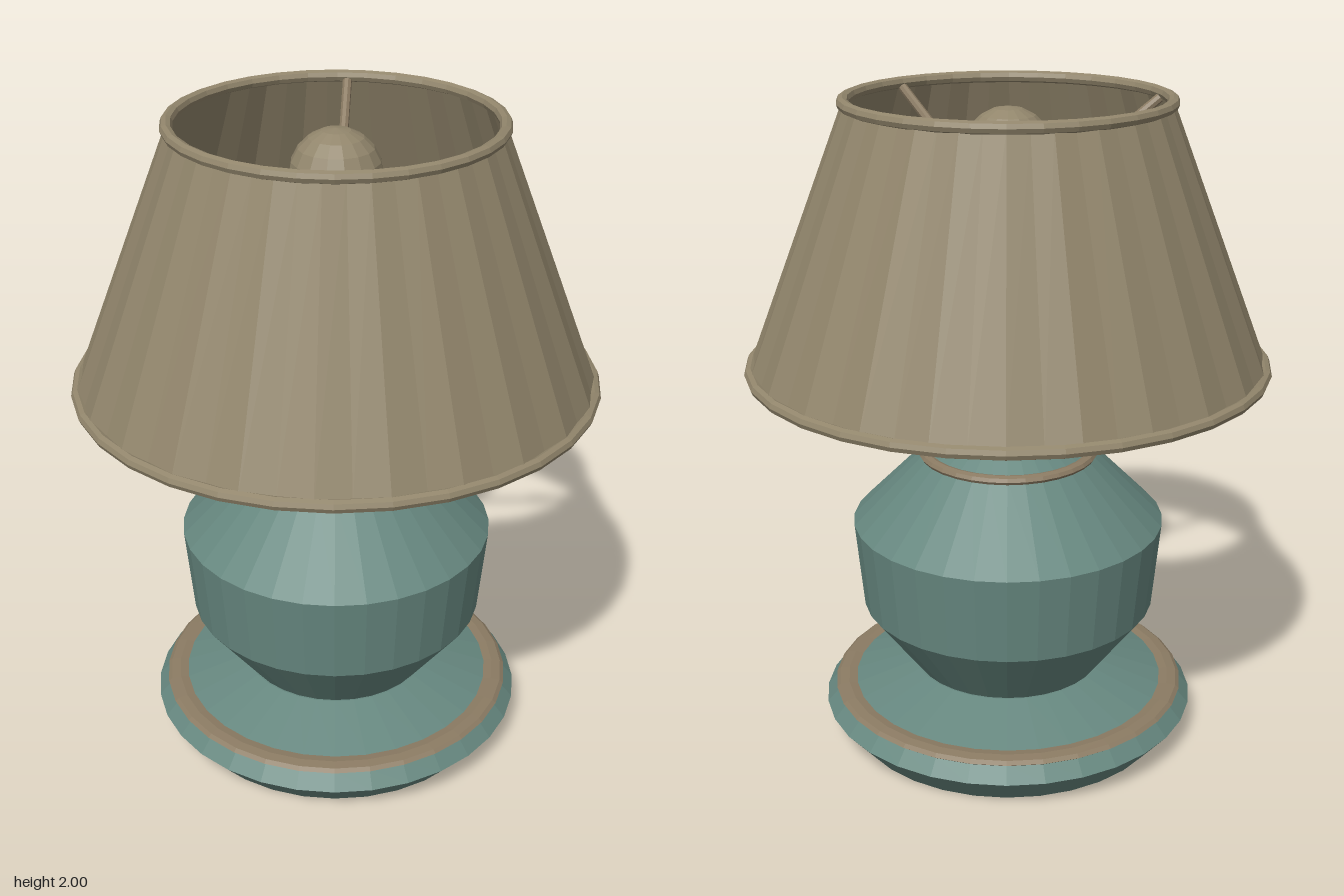
import * as THREE from 'three';

const mat = (name, color, extra = {}) =>
  Object.assign(new THREE.MeshStandardMaterial({ color, ...extra }), { name });

export function createModel() {
  const lamp = new THREE.Group();
  lamp.name = 'tableLamp';
  const glaze = mat('tealGlaze', 0x66877f, { flatShading: true });
  const fabric = mat('pleatedFabric', 0x92866c, { flatShading: true, side: THREE.DoubleSide });
  const trim = mat('bronzeTrim', 0x8b7b63, { flatShading: true });

  const add = (name, geometry, material, y = 0) => {
    const mesh = new THREE.Mesh(geometry, material);
    mesh.name = name;
    mesh.position.y = y;
    lamp.add(mesh);
    return mesh;
  };
  const lathe = (points, sides) =>
    new THREE.LatheGeometry(points.map(([r, y]) => new THREE.Vector2(r, y)), sides);
  const ring = (name, radius, tube, y, squash, material) => {
    const g = new THREE.TorusGeometry(radius, tube, 8, 32);
    g.rotateX(Math.PI / 2);
    g.scale(1, squash, 1);
    return add(name, g, material, y);
  };

  // Ceramic foot and angular vase body
  add('foot', lathe([[0, 0], [0.505, 0], [0.585, 0.095], [0.545, 0.14], [0.49, 0.152], [0.3, 0.215], [0, 0.215]], 32), glaze);
  add('body', lathe([[0, 0.21], [0.295, 0.215], [0.455, 0.43], [0.48, 0.7], [0.262, 0.92], [0.15, 0.995], [0, 0.995]], 32), glaze);
  ring('footTrim', 0.515, 0.04, 0.143, 0.32, trim);
  ring('shoulderTrim', 0.255, 0.021, 0.92, 0.7, trim);

  // Collar, stem, socket and bulb
  add('collar', new THREE.CylinderGeometry(0.172, 0.172, 0.07, 16), trim, 1.03);
  add('stem', new THREE.CylinderGeometry(0.062, 0.062, 0.6, 12), trim, 1.355);
  add('socket', new THREE.CylinderGeometry(0.095, 0.095, 0.1, 12), trim, 1.69);
  add('bulb', new THREE.SphereGeometry(0.135, 16, 10), fabric, 1.83);

  // Pleated shade: every second column of the open cone is folded inward
  const shadeGeo = new THREE.CylinderGeometry(0.47, 0.772, 0.775, 48, 1, true);
  const p = shadeGeo.attributes.position;
  for (let i = 0; i < p.count; i++) {
    const column = Math.round(Math.atan2(p.getX(i), p.getZ(i)) / (Math.PI / 24));
    const k = column % 2 === 0 ? 1 : 0.985;
    p.setX(i, p.getX(i) * k);
    p.setZ(i, p.getZ(i) * k);
  }
  shadeGeo.computeVertexNormals();
  add('shade', shadeGeo, fabric, 1.595);
  ring('shadeBottomRim', 0.766, 0.019, 1.208, 1, fabric);
  ring('shadeTopRim', 0.469, 0.018, 1.982, 1, fabric);

  // Three sloping arms carrying the shade
  const up = new THREE.Vector3(0, 1, 0);
  for (let i = 0; i < 3; i++) {
    const a = (i * Math.PI * 2) / 3;
    const inner = new THREE.Vector3(Math.cos(a) * 0.06, 1.67, Math.sin(a) * 0.06);
    const outer = new THREE.Vector3(Math.cos(a) * 0.455, 1.97, Math.sin(a) * 0.455);
    const dir = outer.clone().sub(inner);
    const arm = add('shadeArm' + (i + 1), new THREE.CylinderGeometry(0.014, 0.014, dir.length(), 8), trim);
    arm.position.copy(inner).add(outer).multiplyScalar(0.5);
    arm.quaternion.setFromUnitVectors(up, dir.normalize());
  }
  return lamp;
}
